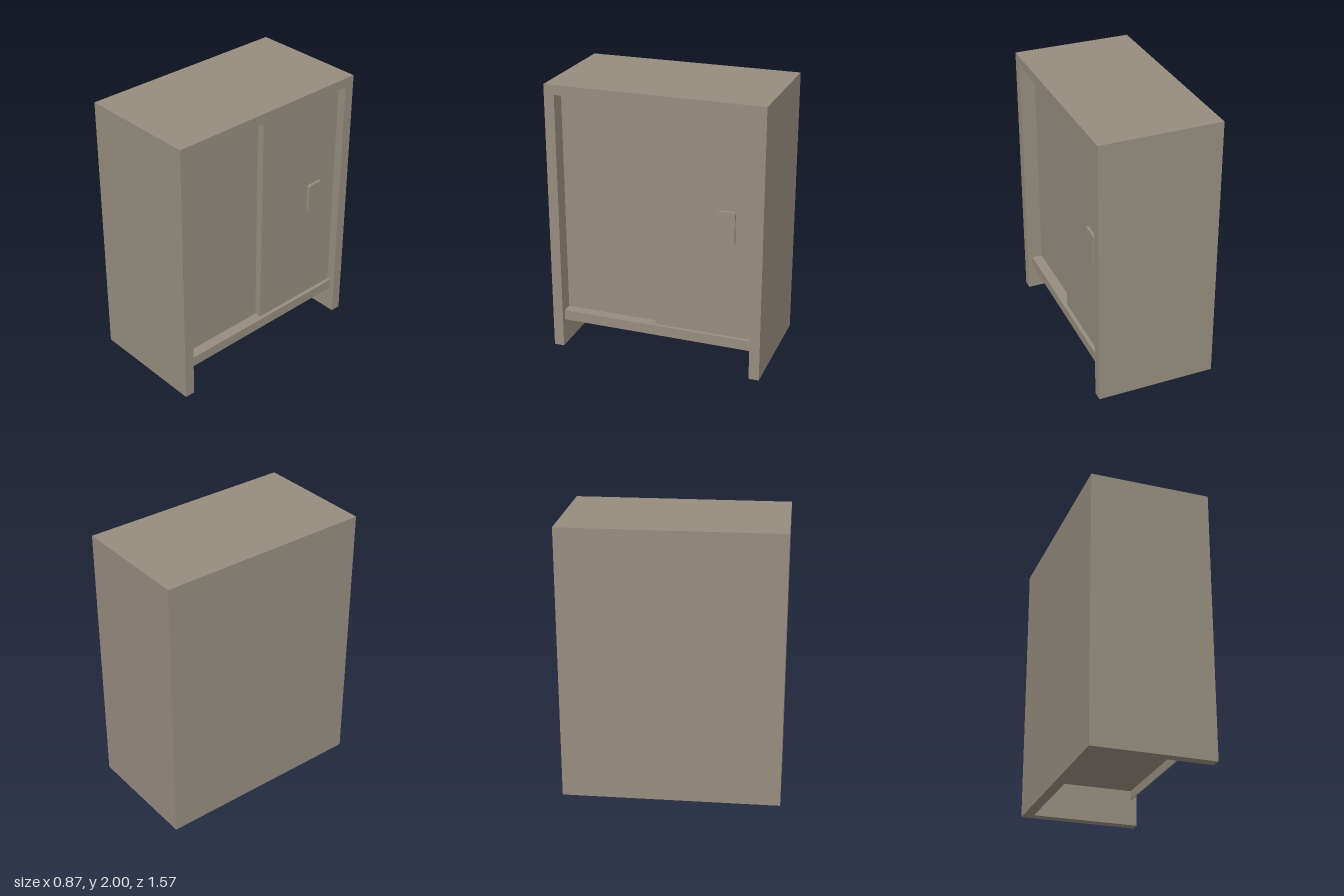
import * as THREE from 'three';

const X = 0.437, Z = 0.787, H = 2;   // half depth, half width, height
const WALL = 0.075, IN = Z - WALL;   // panel thickness, half inner width
const CEIL = 1.93, SILL = 0.275;     // underside of roof, top of bottom shelf

export function createModel() {
  const model = new THREE.Group();
  model.name = 'cabinet';
  const paint = new THREE.MeshStandardMaterial({ color: 0x968d80 });
  paint.name = 'taupe paint';

  // Box given by its low and high corners
  const box = (name, [x0, y0, z0], [x1, y1, z1]) => {
    const mesh = new THREE.Mesh(new THREE.BoxGeometry(x1 - x0, y1 - y0, z1 - z0), paint);
    mesh.name = name;
    mesh.position.set((x0 + x1) / 2, (y0 + y1) / 2, (z0 + z1) / 2);
    model.add(mesh);
  };

  // Carcass, open towards +x
  box('roof', [-X, CEIL, -Z], [X, H, Z]);
  box('leftSide', [-X, 0, IN], [X, CEIL, Z]);
  box('rightSide', [-X, 0, -Z], [X, CEIL, -IN]);
  box('backPanel', [-X, 0, -IN], [-X + WALL, CEIL, IN]);

  // Thin bottom shelf with a folded front lip
  box('bottomShelf', [-X + WALL, SILL - 0.008, -IN], [0.4, SILL, IN]);
  box('shelfLip', [0.392, 0.2, -IN], [0.4, SILL - 0.008, IN]);

  // Two sliding doors on separate tracks
  box('rearDoor', [0.275, SILL, -0.04], [0.323, CEIL, IN]);
  box('frontDoor', [0.323, SILL, -IN], [0.372, CEIL, 0.01]);

  // Rounded handle plate, drawn in xy and turned to face +x
  const w = 0.0675, h = 0.122, r = 0.02;
  const outline = new THREE.Shape();
  outline.absarc(w - r, h - r, r, 0, Math.PI / 2);
  outline.absarc(-w + r, h - r, r, Math.PI / 2, Math.PI);
  outline.absarc(-w + r, -h + r, r, Math.PI, Math.PI * 1.5);
  outline.absarc(w - r, -h + r, r, Math.PI * 1.5, Math.PI * 2);
  const handle = new THREE.Mesh(
    new THREE.ExtrudeGeometry(outline, { depth: 0.02, bevelEnabled: false, curveSegments: 6 }), paint);
  handle.name = 'doorHandle';
  handle.rotation.y = Math.PI / 2;
  handle.position.set(0.372, 1.1, -0.507);
  model.add(handle);

  return model;
}
